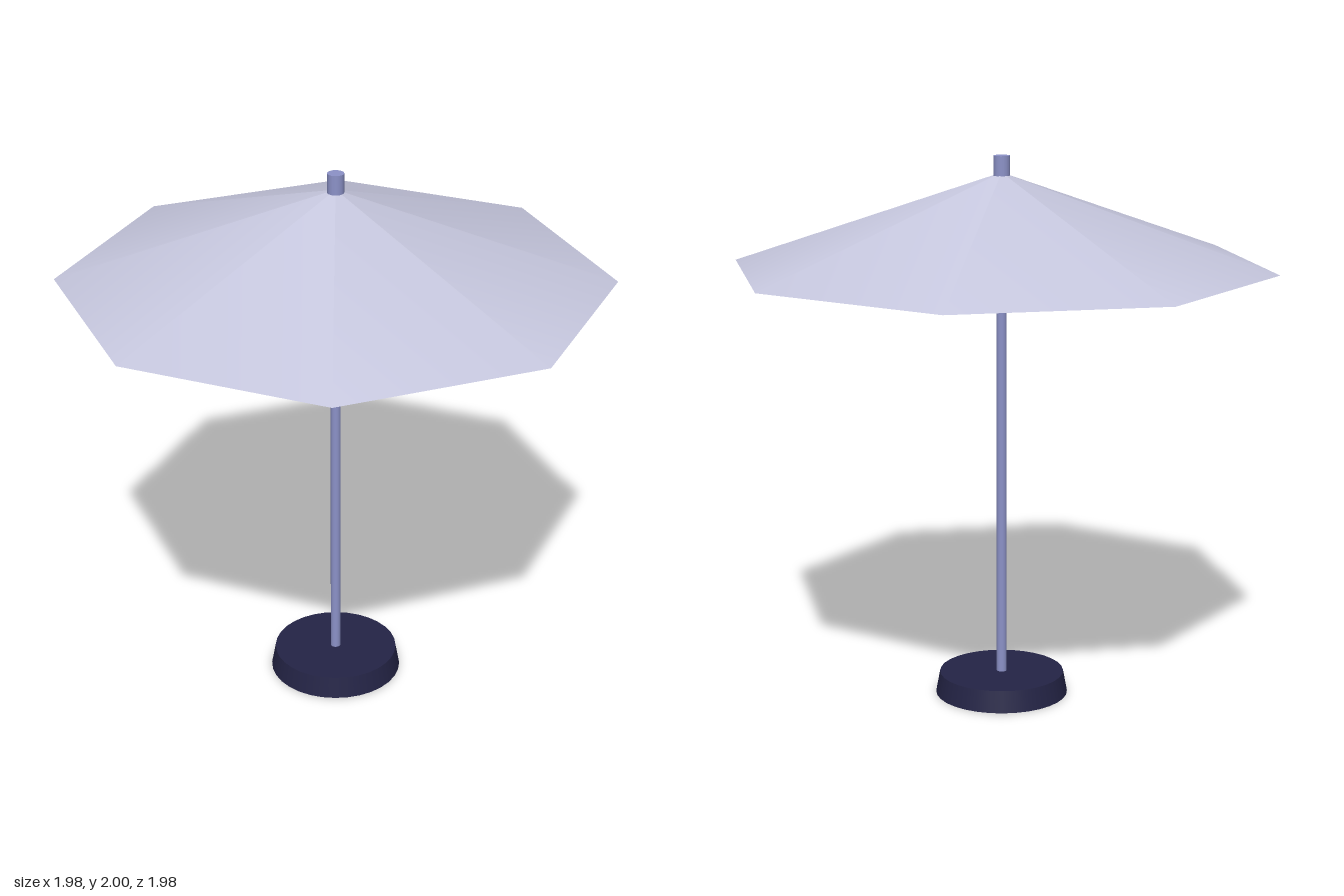
import * as THREE from 'three';

export function createModel() {
  const model = new THREE.Group();
  model.name = 'parasol';

  const material = (name, color) => {
    const m = new THREE.MeshStandardMaterial({ color });
    m.name = name;
    return m;
  };
  const fabric = material('pale lavender fabric', 0xc6c7de);
  fabric.side = THREE.DoubleSide;
  const metal = material('blue grey metal', 0x8c92c8);
  const navy = material('dark navy', 0x242446);

  // Round part standing between two heights
  const add = (name, mat, rTop, rBottom, y0, y1, sides, open = false) => {
    const geometry = new THREE.CylinderGeometry(rTop, rBottom, y1 - y0, sides, 1, open);
    const mesh = new THREE.Mesh(geometry, mat);
    mesh.name = name;
    mesh.position.y = (y0 + y1) / 2;
    model.add(mesh);
  };

  // Weighted foot with a slight taper
  add('base', navy, 0.23, 0.245, 0, 0.08, 32);

  // Pole stops a little short of the canopy peak
  add('pole', metal, 0.0185, 0.0185, 0.01, 1.86, 16);

  // Eight-sided open canopy, smooth shaded
  add('canopy', fabric, 0, 0.992, 1.6, 1.94, 8, true);

  // Cap that pierces the canopy peak
  add('finial', metal, 0.03, 0.03, 1.922, 2, 16);

  return model;
}
